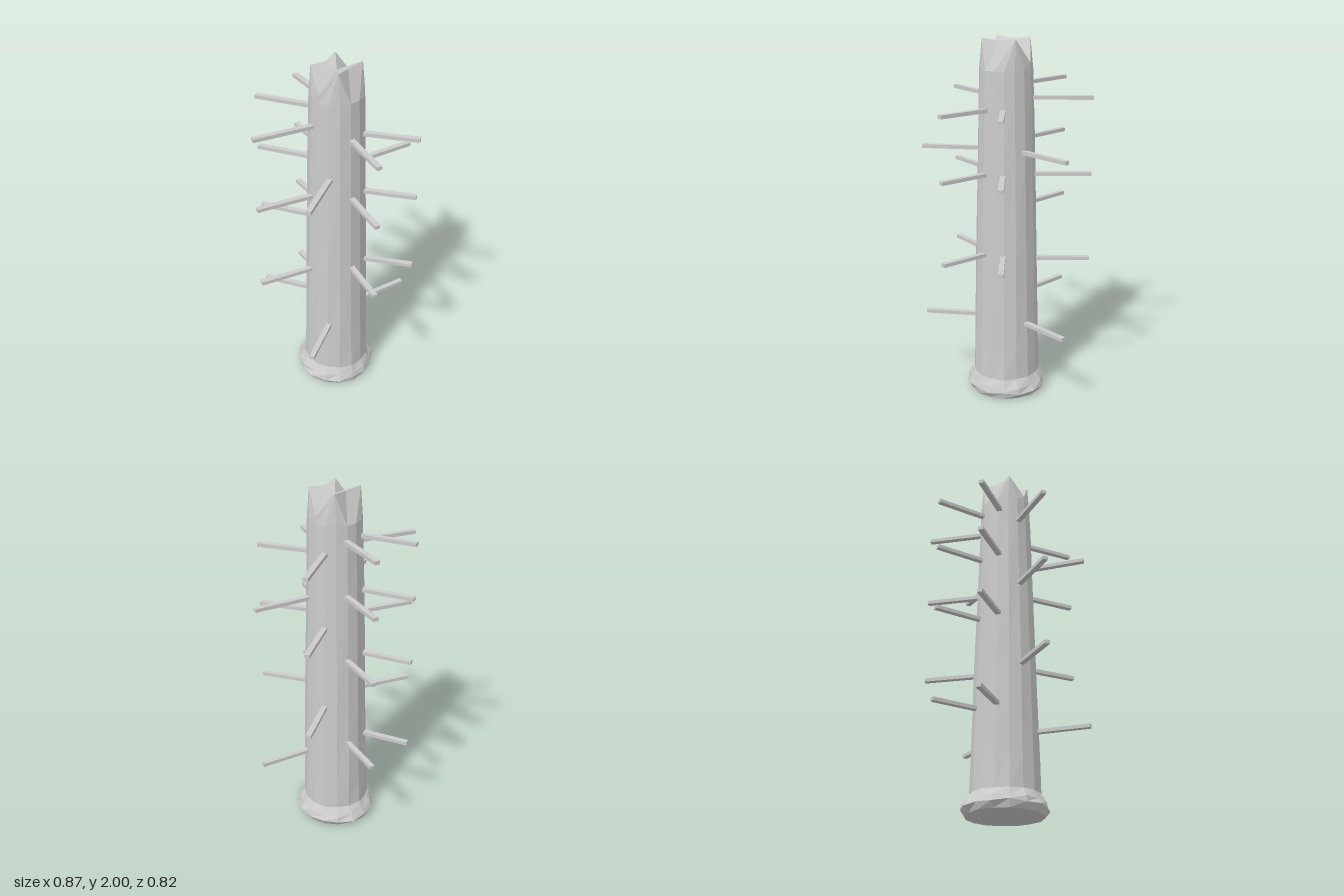
import * as THREE from 'three';

const material = new THREE.MeshStandardMaterial({ color: 0xcccccc, flatShading: true, side: THREE.DoubleSide });
const SIDES = 16;

// Small repeatable unevenness for the hewn surface
const wobble = (i, j) => Math.sin(i * 2.7 + j * 4.1) * 0.6 + Math.sin(i * 5.3 + j * 1.9) * 0.4;

// One ring of points around the trunk
function ring(y, radius, dz, rough, level) {
  return Array.from({ length: SIDES }, (_, i) => {
    const a = (i / SIDES) * Math.PI * 2;
    const r = radius + rough * wobble(i, level);
    const lift = y > 0 ? rough * wobble(i + 3, level) : 0;
    return new THREE.Vector3(Math.cos(a) * r, y + lift, Math.sin(a) * r + dz);
  });
}

// Rim of the crown: four peaks, with deep notches on the two sides
function crownRim() {
  return Array.from({ length: SIDES }, (_, i) => {
    const a = (i / SIDES) * Math.PI * 2;
    const sx = Math.sign(Math.cos(a)), sz = Math.sign(Math.sin(a));
    if (i % 8 === 0) return new THREE.Vector3(sx * 0.14, 1.88, 0);
    if (i % 8 === 4) return new THREE.Vector3(0, 1.99, sz * 0.072);
    return new THREE.Vector3(sx * 0.098, 2, sz * 0.086);
  });
}

function createTrunk() {
  // height, radius, z shift, roughness
  const levels = [
    [0, 0.208, -0.008, 0.006],
    [0.035, 0.228, -0.01, 0.008],
    [0.065, 0.215, -0.008, 0.007],
    [0.11, 0.188, -0.004, 0.004],
    [0.28, 0.182, -0.003, 0.002],
    [0.8, 0.17, -0.002, 0.002],
    [1.4, 0.155, -0.001, 0.002],
    [1.7, 0.147, 0, 0.001],
    [1.84, 0.142, 0, 0.001],
  ];
  const rings = levels.map(([y, r, dz, rough], j) => ring(y, r, dz, rough, j));
  rings.push(crownRim());

  const positions = [];
  const triangle = (a, b, c) => {
    const area = b.clone().sub(a).cross(c.clone().sub(a)).length();
    if (area > 1e-7) [a, b, c].forEach((p) => positions.push(p.x, p.y, p.z));
  };
  const foot = new THREE.Vector3(0, 0, -0.008);
  const crownCentre = new THREE.Vector3(0, 1.965, 0);
  const top = rings[rings.length - 1];
  for (let i = 0; i < SIDES; i++) {
    const n = (i + 1) % SIDES;
    for (let j = 0; j < rings.length - 1; j++) {
      const low = rings[j], high = rings[j + 1];
      triangle(low[i], high[i], low[n]);
      triangle(low[n], high[i], high[n]);
    }
    triangle(foot, rings[0][i], rings[0][n]);
    triangle(crownCentre, top[n], top[i]);
  }
  const geometry = new THREE.BufferGeometry();
  geometry.setAttribute('position', new THREE.Float32BufferAttribute(positions, 3));
  geometry.computeVertexNormals();
  const mesh = new THREE.Mesh(geometry, material);
  mesh.name = 'trunk';
  return mesh;
}

// Level rung running from inside the trunk out to its tip
function createRung(name, y, from, to) {
  const dx = to[0] - from[0], dz = to[1] - from[1];
  const length = Math.hypot(dx, dz);
  const mesh = new THREE.Mesh(new THREE.BoxGeometry(length, 0.02, 0.029), material);
  mesh.position.set((from[0] + to[0]) / 2, y, (from[1] + to[1]) / 2);
  mesh.rotation.y = -Math.atan2(dz, dx);
  mesh.name = name;
  return mesh;
}

export function createModel() {
  const model = new THREE.Group();
  model.name = 'spikedColumn';
  model.add(createTrunk());

  // Rung rows, mirrored left and right
  const rows = [
    { name: 'frontRung', from: [0.047, 0.13], to: [0.173, 0.397], heights: [1.635, 1.29, 0.84] },
    { name: 'backRung', from: [0.058, -0.125], to: [0.155, -0.41], heights: [1.755, 1.455, 1.08, 0.555] },
    { name: 'sideBackRung', from: [0.13, -0.05], to: [0.42, -0.192], heights: [1.69, 1.275, 0.79] },
    { name: 'sideFrontRung', from: [0.13, 0.06], to: [0.428, 0.164], heights: [1.415, 0.44] },
  ];
  for (const { name, from, to, heights } of rows) {
    for (const y of heights) {
      for (const s of [1, -1]) {
        model.add(createRung(name + (s > 0 ? 'Left' : 'Right'), y, [s * from[0], from[1]], [s * to[0], to[1]]));
      }
    }
  }
  return model;
}
